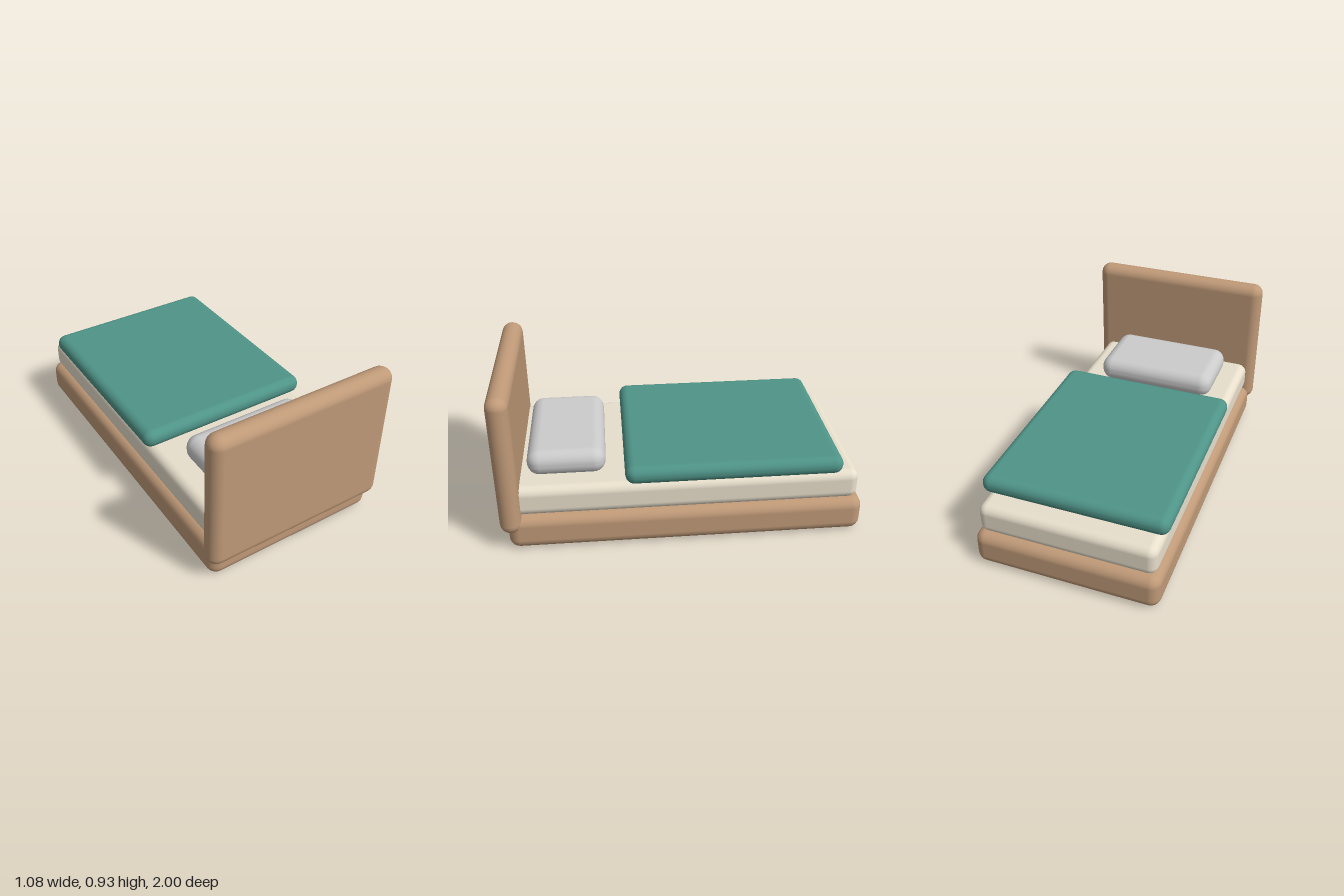
import * as THREE from 'three';
import { RoundedBoxGeometry } from 'three/addons/geometries/RoundedBoxGeometry.js';

const wood = new THREE.MeshStandardMaterial({ color: 0xc09a78 });
const linen = new THREE.MeshStandardMaterial({ color: 0xe8dfcc });
const teal = new THREE.MeshStandardMaterial({ color: 0x4f9488 });
const white = new THREE.MeshStandardMaterial({ color: 0xebebe8 });

// Rounded slab centred on x, given its width and its y and z ranges
function slab(name, material, width, [y0, y1], [z0, z1], radius) {
  const geometry = new RoundedBoxGeometry(width, y1 - y0, z1 - z0, 3, radius);
  const mesh = new THREE.Mesh(geometry, material);
  mesh.name = name;
  mesh.position.set(0, (y0 + y1) / 2, (z0 + z1) / 2);
  return mesh;
}

export function createModel() {
  const bed = new THREE.Group();
  bed.name = 'bed';
  bed.add(
    // Wooden frame
    slab('bedBase', wood, 1.03, [0, 0.205], [-1, 0.96], 0.06),
    slab('headboard', wood, 1.08, [0.11, 0.93], [0.88, 1], 0.06),
    // Bedding
    slab('mattress', linen, 0.98, [0.2, 0.375], [-0.97, 0.93], 0.05),
    slab('blanket', teal, 1.03, [0.375, 0.48], [-0.87, 0.315], 0.05),
    slab('pillow', white, 0.72, [0.355, 0.505], [0.415, 0.845], 0.07),
  );
  return bed;
}
